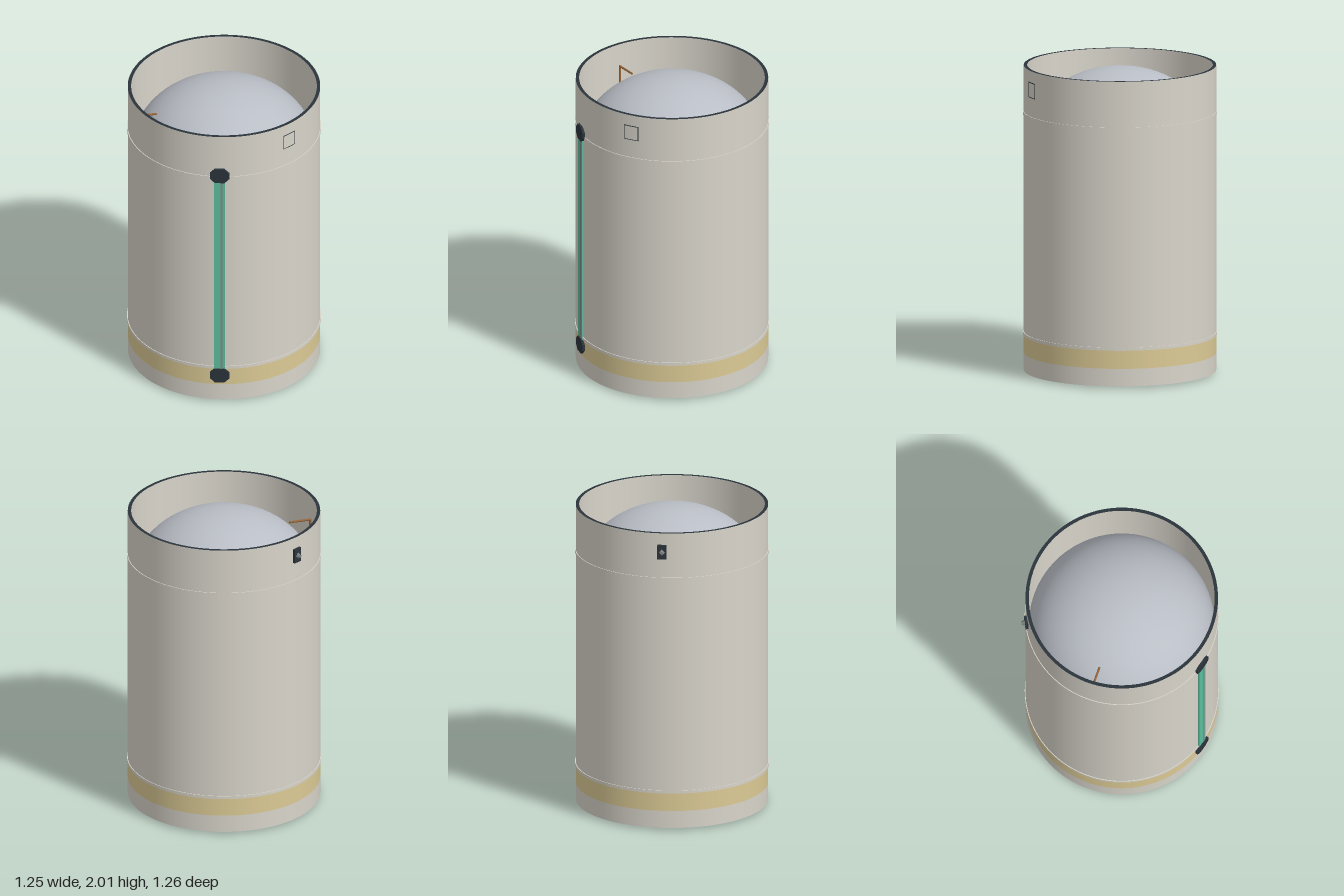
import * as THREE from 'three';

const paint = (name, color, side = THREE.FrontSide) => {
  const m = new THREE.MeshStandardMaterial({ color, side });
  m.name = name;
  return m;
};

export function createModel() {
  const model = new THREE.Group();
  model.name = 'propellantTankStage';

  const shellMat = paint('warmWhite', 0xd8d4ca, THREE.DoubleSide);
  const bandMat = paint('paleYellow', 0xdbca95, THREE.DoubleSide);
  const darkMat = paint('charcoal', 0x2b343b, THREE.DoubleSide);
  const greenMat = paint('seaGreen', 0x5cbd9c);
  const domeMat = paint('blueGrey', 0xb9bdc5);
  const copperMat = paint('copperBrown', 0x976539, THREE.DoubleSide);
  const steelMat = paint('steelGrey', 0x85888a, THREE.DoubleSide);

  const R = 0.622, RI = 0.6, SEG = 96;
  const add = (name, geo, mat, parent = model) => {
    const mesh = new THREE.Mesh(geo, mat);
    mesh.name = name;
    parent.add(mesh);
    return mesh;
  };
  // A frame on the hull: +z points outwards, angle measured from the front towards +x
  const onHull = (name, degrees, radius, y) => {
    const g = new THREE.Group();
    const a = THREE.MathUtils.degToRad(degrees);
    g.name = name;
    g.position.set(Math.sin(a) * radius, y, Math.cos(a) * radius);
    g.rotation.y = a;
    model.add(g);
    return g;
  };
  const boxAt = (name, w, h, d, mat, parent, x = 0, y = 0, z = 0) => {
    const m = add(name, new THREE.BoxGeometry(w, h, d), mat, parent);
    m.position.set(x, y, z);
    return m;
  };

  // Hull: outer and inner walls, split at the painted band
  [[0, 0.115, shellMat, 'lowerSkirt'], [0.115, 0.235, bandMat, 'paintedBand'],
    [0.235, 2, shellMat, 'hull']].forEach(([y0, y1, mat, name]) => {
    [[R, 'Outer'], [RI, 'Inner']].forEach(([r, part]) => {
      add(name + part, new THREE.CylinderGeometry(r, r, y1 - y0, SEG, 1, true), mat)
        .position.y = (y0 + y1) / 2;
    });
  });

  // Dark end rims
  [[0, 'bottomRim'], [2, 'topRim']].forEach(([y, name]) => {
    const rim = add(name, new THREE.RingGeometry(RI, R, SEG), darkMat);
    rim.rotation.x = y ? -Math.PI / 2 : Math.PI / 2;
    rim.position.y = y;
  });

  // Joint rings
  [0.245, 1.69].forEach((y) => {
    const profile = [[R - 0.005, -0.01], [0.627, -0.01], [0.627, 0.01], [R - 0.005, 0.01]]
      .map(([r, h]) => new THREE.Vector2(r, h));
    const ring = new THREE.LatheGeometry(profile, SEG).toNonIndexed();
    ring.computeVertexNormals();
    add('jointRing', ring, shellMat).position.y = y;
  });

  // Tank domes
  const dome = (name, y, mat, flip) => {
    const geo = new THREE.SphereGeometry(RI, 64, 24, 0, Math.PI * 2, 0, Math.PI / 2);
    geo.scale(1, 0.8, 1);
    const m = add(name, geo, mat);
    m.position.y = y;
    if (flip) m.rotation.x = Math.PI;
  };
  dome('upperDome', 1.505, domeMat, false);
  dome('lowerDome', 0.505, copperMat, true);

  // Cable raceway with a rounded fairing at each end
  const raceway = onHull('raceway', -15.4, R, 0.945);
  boxAt('racewayCover', 0.072, 1.5, 0.02, greenMat, raceway, 0, 0, -0.002);
  boxAt('racewaySeam', 0.014, 1.5, 0.004, steelMat, raceway, 0.013, 0, 0.008);
  const c = 0.032, w = 0.063, h = 0.051;
  const fairing = new THREE.Shape([[-w, -h + c], [-w + c, -h], [w - c, -h], [w, -h + c],
    [w, h - c], [w - c, h], [-w + c, h], [-w, h - c]].map(([x, y]) => new THREE.Vector2(x, y)));
  [-0.757, 0.763].forEach((y) => {
    const geo = new THREE.ExtrudeGeometry(fairing, { depth: 0.02, bevelEnabled: false });
    add('racewayFairing', geo, darkMat, raceway).position.set(0, y, -0.006);
  });

  // Access hatch: a curved panel with a thin dark gap around it
  const hatchPlate = (name, half, r, mat) => {
    const geo = new THREE.CylinderGeometry(r, r, half * 2, 12, 1, true,
      Math.PI / 6 - half / R, 2 * half / R);
    add(name, geo, mat).position.y = 1.875;
  };
  hatchPlate('hatchGap', 0.051, R + 0.001, darkMat);
  hatchPlate('hatchPanel', 0.046, R + 0.002, shellMat);

  // Sensor on the rear of the hull
  const sensor = onHull('rearSensor', 210, R, 1.875);
  boxAt('sensorPlate', 0.06, 0.095, 0.026, darkMat, sensor, 0, 0, 0.004);
  const lens = add('sensorHead', new THREE.CylinderGeometry(0.012, 0.022, 0.022, 4, 1), steelMat, sensor);
  lens.rotation.x = Math.PI / 2;
  lens.position.z = 0.027;

  // Pressure line along the inner wall
  const line = new THREE.CurvePath();
  const pts = [[-0.45, 1.85], [-0.588, 1.85], [-0.588, 0.02]].map(([x, y]) => new THREE.Vector3(x, y, 0));
  for (let i = 0; i < 2; i++) {
    line.add(new THREE.LineCurve3(pts[i], pts[i + 1]));
    const tube = new THREE.TubeGeometry(line.curves[i], 1, 0.007, 10);
    add('pressureLine', tube, copperMat);
  }
  pts.forEach((p) => add('pressureLineJoint', new THREE.SphereGeometry(0.007, 10, 8), copperMat).position.copy(p));

  // Mounting blocks inside the lower rim
  for (let i = 0; i < 8; i++) {
    const mount = onHull('mountingBlock', 22.5 + i * 45, 0.575, 0.035);
    boxAt('block', 0.05, 0.05, 0.05, darkMat, mount);
  }

  // Feed line below the lower dome, ending in an elbow
  const feed = new THREE.Group();
  feed.name = 'feedLine';
  model.add(feed);
  const duct = add('feedDuct', new THREE.CylinderGeometry(0.03, 0.042, 0.68, 24), shellMat, feed);
  duct.rotation.x = Math.PI / 2;
  duct.position.set(0, 0.065, 0.03);
  const bend = new THREE.CatmullRomCurve3([[0, 0.075, -0.28], [-0.01, 0.1, -0.36],
    [-0.03, 0.1, -0.41], [-0.04, 0.03, -0.42]].map((p) => new THREE.Vector3(...p)));
  add('feedElbow', new THREE.TubeGeometry(bend, 16, 0.05, 24), shellMat, feed);
  const outlet = add('feedOutlet', new THREE.CylinderGeometry(0.055, 0.055, 0.03, 24, 1, true), copperMat, feed);
  outlet.position.set(-0.04, 0.035, -0.42);
  const joint = add('feedJoint', new THREE.CylinderGeometry(0.048, 0.048, 0.075, 24), copperMat, feed);
  joint.position.set(0.03, 0.065, 0.38);
  boxAt('feedClamp', 0.05, 0.05, 0.05, darkMat, feed, -0.02, 0.04, -0.32);
  boxAt('feedClamp', 0.05, 0.05, 0.05, darkMat, feed, 0.09, 0.07, 0.38);

  // Tapered vanes either side of the dome's lowest point
  [-1, 1].forEach((s) => {
    const vane = new THREE.Shape([[0, -0.012], [0.27, -0.035], [0.25, 0.035], [0, 0.012]]
      .map(([x, z]) => new THREE.Vector2(s * x, z)));
    const m = add('vane', new THREE.ShapeGeometry(vane), steelMat);
    m.rotation.x = Math.PI / 2;
    m.rotation.y = -s * 0.12;
    m.position.y = 0.018;
  });

  return model;
}
